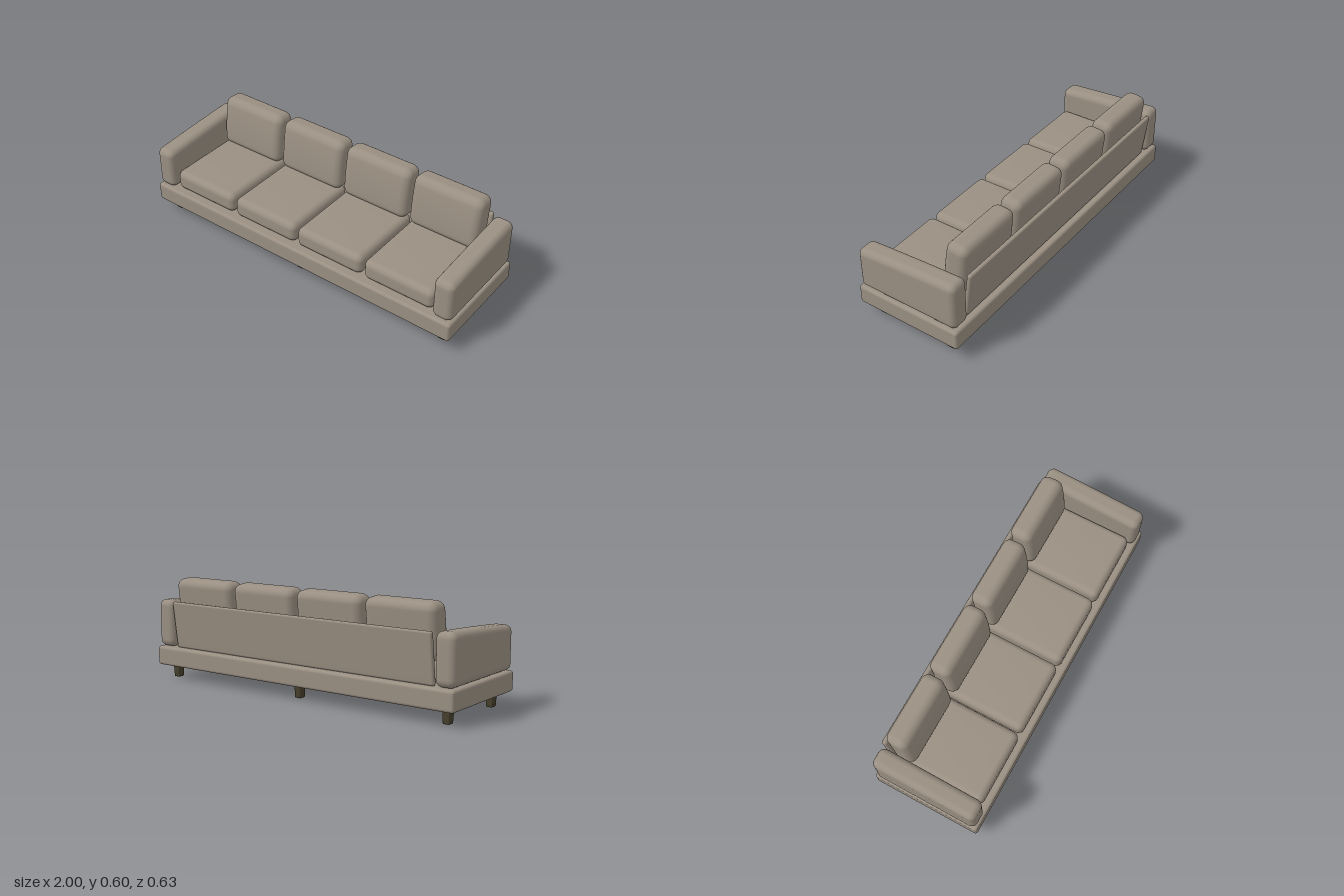
import * as THREE from 'three';
import { mergeVertices } from 'three/addons/utils/BufferGeometryUtils.js';

const EDGE = 4, MID = 8, N = EDGE * 2 + MID;

// Maps a grid step 0..N to a coordinate, with dense steps inside the rounded edges
function gridCoord(i, half, r) {
  const inner = half - r;
  if (i < EDGE) return -inner - r * Math.tan((1 - i / EDGE) * Math.PI / 4);
  if (i > N - EDGE) return inner + r * Math.tan((i - N + EDGE) / EDGE * Math.PI / 4);
  return inner * (2 * (i - EDGE) / MID - 1);
}

// Rounded box centred on the origin; the rule moves each vertex
function softBox(w, h, d, r, rule) {
  const geo = new THREE.BoxGeometry(1, 1, 1, N, N, N);
  const half = new THREE.Vector3(w / 2, h / 2, d / 2);
  const inner = half.clone().subScalar(r);
  const pos = geo.attributes.position, p = new THREE.Vector3(), c = new THREE.Vector3();
  for (let i = 0; i < pos.count; i++) {
    p.fromBufferAttribute(pos, i);
    for (const a of ['x', 'y', 'z']) p[a] = gridCoord(Math.round((p[a] + 0.5) * N), half[a], r);
    c.copy(p).clamp(inner.clone().negate(), inner);
    p.sub(c).setLength(r).add(c);
    if (rule) rule(p);
    pos.setXYZ(i, p.x, p.y, p.z);
  }
  geo.deleteAttribute('uv');
  geo.deleteAttribute('normal');
  const smooth = mergeVertices(geo, 1e-5);
  smooth.computeVertexNormals();
  return smooth;
}

export function createModel() {
  const sofa = new THREE.Group();
  sofa.name = 'sofa';
  const fabric = new THREE.MeshStandardMaterial({ color: 0x9a8f82 });
  fabric.name = 'taupe fabric';
  const wood = new THREE.MeshStandardMaterial({ color: 0x453f2c });
  wood.name = 'dark wood';

  const add = (name, geo, mat, x, y, z) => {
    const mesh = new THREE.Mesh(geo, mat);
    mesh.name = name;
    mesh.position.set(x, y, z);
    sofa.add(mesh);
    return mesh;
  };

  // Plinth under the whole sofa
  add('base', softBox(2, 0.111, 0.625, 0.016), fabric, 0, 0.1325, 0.0025);

  // Arms: the top rises gently towards the back
  const armGeo = softBox(0.115, 0.25, 0.606, 0.036, p => {
    const t = 0.5 - p.z / 0.606;
    const top = -0.012 + 0.05 * t - 0.012 * t * t;
    p.y += top * (p.y / 0.25 + 0.5);
  });
  for (const s of [-1, 1]) add(s > 0 ? 'leftArm' : 'rightArm', armGeo, fabric, s * 0.938, 0.315, 0.002);

  // Back panel leaning backwards
  const panelGeo = softBox(1.74, 0.272, 0.028, 0.012, p => { p.z -= 0.13 * p.y; });
  add('backPanel', panelGeo, fabric, 0, 0.324, -0.28);

  // Seat cushions with a slight crown
  const seatGeo = softBox(0.425, 0.118, 0.49, 0.036, p => {
    const crown = (1 - (p.x / 0.2125) ** 2) * (1 - (p.z / 0.245) ** 2);
    if (p.y > 0) p.y += 0.006 * crown;
  });

  // Back cushions, tapering and leaning
  const backGeo = softBox(0.42, 0.3, 0.14, 0.045, p => {
    const t = p.y / 0.3 + 0.5, u = p.z / 0.14 + 0.5;
    const front = -0.125 - 0.035 * t * t, rear = -0.255 - 0.03 * t;
    p.y -= 0.012 * t * (1 - u);
    p.z = rear + (front - rear) * u;
  });
  for (let i = 0; i < 4; i++) {
    const x = (i - 1.5) * 0.44;
    add('seatCushion', seatGeo, fabric, x, 0.248, 0.035);
    add('backCushion', backGeo, fabric, x, 0.45, 0);
  }

  // Tapered legs with softened edges
  const legGeo = softBox(0.044, 0.078, 0.05, 0.006, p => {
    const k = 0.92 + 0.16 * p.y / 0.078;
    p.x *= k;
    p.z *= k;
  });
  for (const x of [-0.92, 0, 0.92]) {
    for (const z of [-0.218, 0.222]) add('leg', legGeo, wood, x, 0.039, z);
  }
  return sofa;
}
